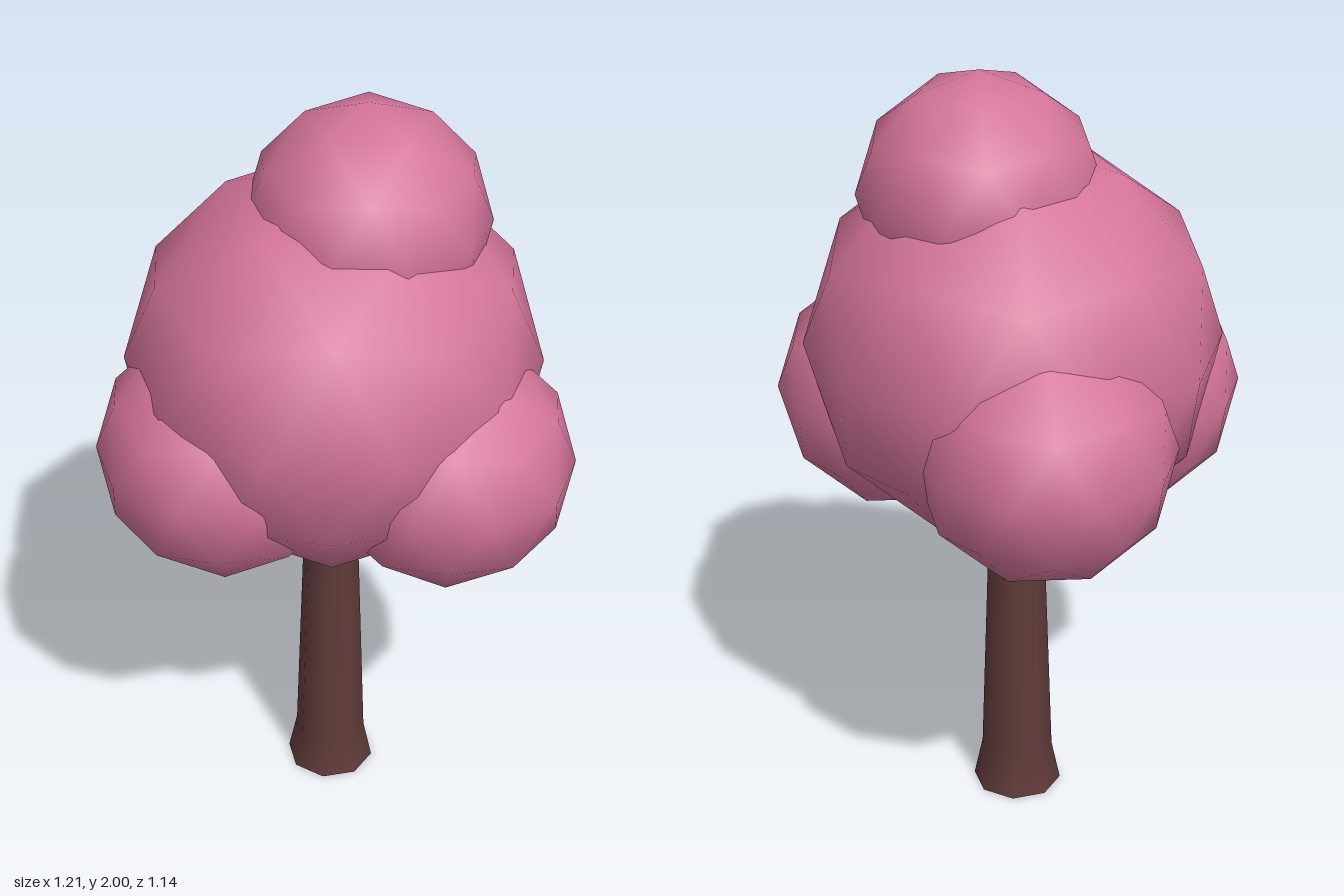
import * as THREE from 'three';

export function createModel() {
  const tree = new THREE.Group();
  tree.name = 'tree';

  const blossom = new THREE.MeshStandardMaterial({ color: 0xd4749a });
  blossom.name = 'blossom pink';
  const bark = new THREE.MeshStandardMaterial({ color: 0x5f3b39 });
  bark.name = 'bark brown';

  // Trunk: eight-sided, flared at the foot, closed underneath
  const profile = [[0.118, 0], [0.095, 0.11], [0.07, 0.84], [0.066, 1.0]]
    .map(([r, y]) => new THREE.Vector2(r, y));
  const trunk = new THREE.Mesh(new THREE.LatheGeometry(profile, 8), bark);
  trunk.name = 'trunk';
  const foot = new THREE.Mesh(new THREE.CircleGeometry(0.118, 8), bark);
  foot.name = 'trunkBase';
  foot.rotation.x = Math.PI / 2;
  trunk.add(foot);
  trunk.position.set(-0.008, 0, -0.05);
  tree.add(trunk);

  // Foliage: smooth-shaded icospheres, each with a corner pointing straight up
  const ball = new THREE.IcosahedronGeometry(1, 1);
  ball.rotateZ(Math.atan(2 / (1 + Math.sqrt(5))));
  ball.rotateY(Math.PI);

  const clumps = [
    ['crown', 0.525, 0, 1.31, -0.05],
    ['topClump', 0.302, 0.04, 1.698, -0.12],
    ['frontClump', 0.325, -0.053, 1.125, 0.242],
    ['leftClump', 0.32, 0.3, 1.12, -0.183],
    ['rightClump', 0.322, -0.303, 1.155, -0.2],
  ];
  for (const [name, radius, x, y, z] of clumps) {
    const clump = new THREE.Mesh(ball, blossom);
    clump.name = name;
    clump.scale.setScalar(radius);
    clump.position.set(x, y, z);
    tree.add(clump);
  }

  return tree;
}
